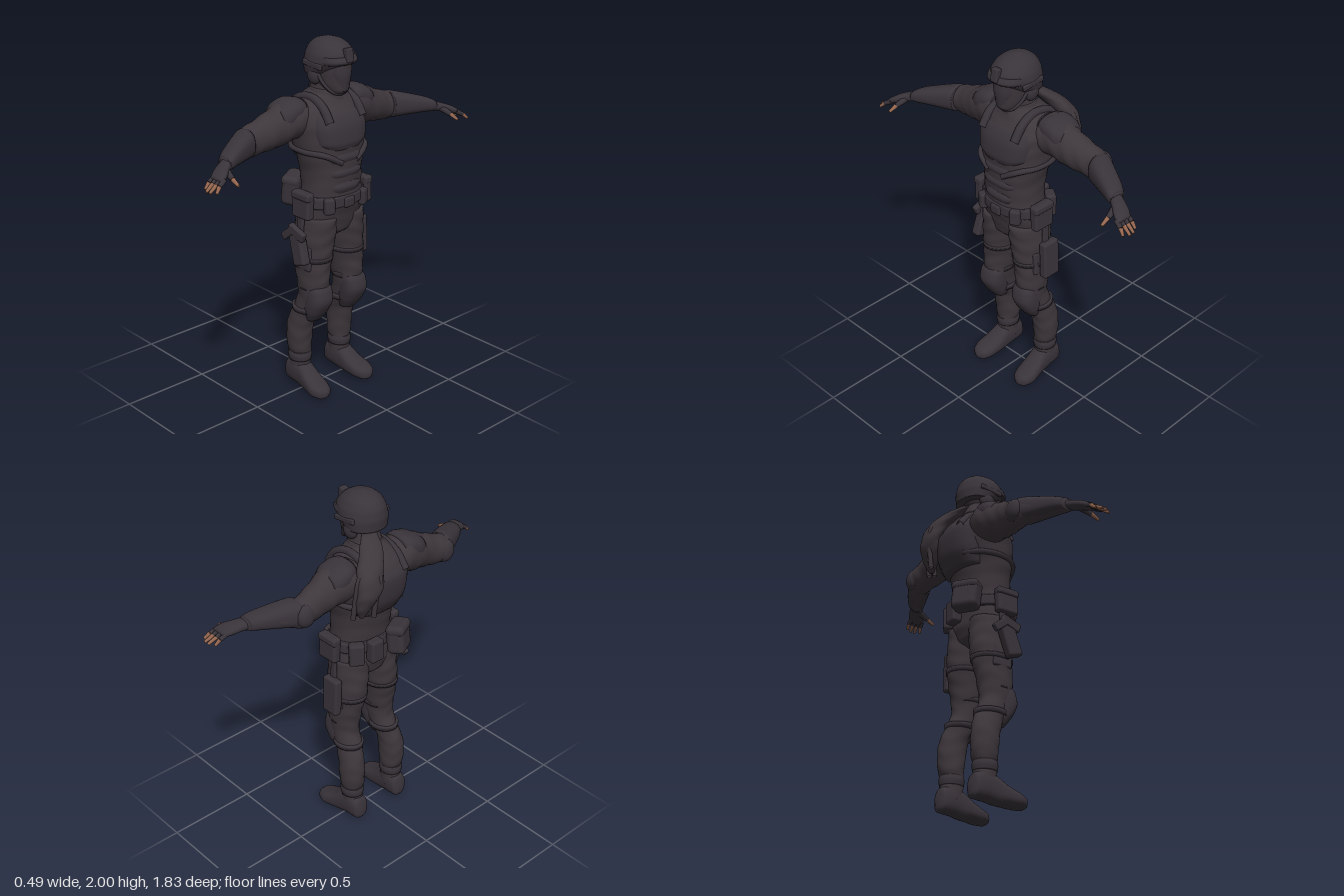
import * as THREE from 'three';
import { RoundedBoxGeometry } from 'three/addons/geometries/RoundedBoxGeometry.js';

const mat = (name, color) => {
  const m = new THREE.MeshStandardMaterial({ color, side: THREE.DoubleSide });
  m.name = name;
  return m;
};

// Smooth skin over elliptical rings [x, y, z, a, b] that lie across the given axis.
function loftGeometry(rows, axis, { wrinkle = 0, power = 1, seg = 28, steps = 5, flip = 1 } = {}) {
  const mid = new THREE.CatmullRomCurve3(rows.map(r => new THREE.Vector3(r[0] * flip, r[1], r[2])));
  const size = new THREE.CatmullRomCurve3(rows.map(r => new THREE.Vector3(r[3], r[4], 0)));
  const n = (rows.length - 1) * steps, pos = [], idx = [];
  const shape = v => Math.sign(v) * Math.abs(v) ** power;
  for (let i = 0; i <= n; i++) {
    const c = mid.getPoint(i / n), s = size.getPoint(i / n);
    for (let j = 0; j < seg; j++) {
      const t = j / seg * Math.PI * 2;
      const along = c[axis];
      const k = 1 + wrinkle * (Math.sin(along * 75 + 2 * Math.sin(t * 2)) + 0.6 * Math.sin(along * 41 + 3 * t));
      const u = shape(Math.cos(t)) * s.x * k, v = shape(Math.sin(t)) * s.y * k;
      if (axis === 'y') pos.push(c.x + u * flip, c.y, c.z + v);
      else if (axis === 'x') pos.push(c.x, c.y + u, c.z + v);
      else pos.push(c.x + u * flip, c.y + v, c.z);
    }
  }
  for (let i = 0; i < n; i++) for (let j = 0; j < seg; j++) {
    const a = i * seg + j, b = i * seg + (j + 1) % seg;
    idx.push(a, a + seg, b + seg, a, b + seg, b);
  }
  const ends = [mid.getPoint(0), mid.getPoint(1)];
  ends.forEach(e => pos.push(e.x, e.y, e.z));
  for (let j = 0; j < seg; j++) {
    const k = (j + 1) % seg, last = n * seg;
    idx.push(last + seg, j, k, last + seg + 1, last + k, last + j);
  }
  // Turn the faces outward
  let volume = 0;
  const p = i => new THREE.Vector3().fromArray(pos, idx[i] * 3);
  for (let i = 0; i < idx.length; i += 3) volume += p(i).sub(ends[0]).dot(p(i + 1).sub(ends[0]).cross(p(i + 2).sub(ends[0])));
  if (volume < 0) idx.reverse();
  const g = new THREE.BufferGeometry();
  g.setAttribute('position', new THREE.Float32BufferAttribute(pos, 3));
  g.setIndex(idx);
  g.computeVertexNormals();
  return g;
}

export function createModel() {
  const cloth = mat('dark cloth', 0x3d363b), gear = mat('dark gear', 0x39333a), skin = mat('skin', 0x94664f);
  const root = new THREE.Group(), figure = new THREE.Group();
  root.name = 'soldier';
  figure.name = 'figure';
  figure.rotation.y = Math.PI / 2; // the figure is built facing +z and turned to face +x
  root.add(figure);

  const add = (name, geo, m = cloth) => {
    const mesh = new THREE.Mesh(geo, m);
    mesh.name = name;
    figure.add(mesh);
    return mesh;
  };
  const loft = (name, rows, axis, opt, m) => add(name, loftGeometry(rows, axis, opt), m);
  const box = (name, [w, h, d], [x, y, z], [rx, ry, rz] = [0, 0, 0], r = 0.015) => {
    const mesh = add(name, new RoundedBoxGeometry(w, h, d, 2, Math.min(r, w / 2.1, h / 2.1, d / 2.1)), gear);
    mesh.position.set(x, y, z);
    mesh.rotation.set(rx, ry, rz);
    return mesh;
  };
  const ball = (name, [w, h, d], [x, y, z], m = gear) => {
    const mesh = add(name, new THREE.SphereGeometry(1, 24, 16), m);
    mesh.scale.set(w, h, d);
    mesh.position.set(x, y, z);
    return mesh;
  };
  const rod = (name, a, b, r1, r2, m) => {
    const A = new THREE.Vector3(...a), B = new THREE.Vector3(...b), dir = B.clone().sub(A);
    const mesh = add(name, new THREE.CylinderGeometry(r2, r1, dir.length(), 8), m);
    mesh.position.copy(A).add(B).multiplyScalar(0.5);
    mesh.quaternion.setFromUnitVectors(new THREE.Vector3(0, 1, 0), dir.normalize());
    return mesh;
  };
  const tube = (name, pts, r, m = gear) => add(name, new THREE.TubeGeometry(
    new THREE.CatmullRomCurve3(pts.map(p => new THREE.Vector3(...p))), 24, r, 8), m);

  // Torso and neck
  loft('torso', [
    [0, 0.92, 0.03, 0.04, 0.06], [0, 0.96, 0.035, 0.13, 0.11], [0, 1.03, 0.035, 0.188, 0.127], [0, 1.12, 0.05, 0.185, 0.135],
    [0, 1.2, 0.05, 0.172, 0.135], [0, 1.3, 0.045, 0.172, 0.145], [0, 1.4, 0.035, 0.192, 0.155], [0, 1.5, 0.01, 0.205, 0.178],
    [0, 1.58, -0.005, 0.215, 0.175], [0, 1.64, -0.01, 0.195, 0.15], [0, 1.69, 0, 0.125, 0.115], [0, 1.73, 0.015, 0.085, 0.085],
    [0, 1.8, 0.03, 0.075, 0.075]], 'y', { wrinkle: 0.008, power: 0.9, seg: 40 });
  loft('collar', [[0, 1.66, 0.01, 0.12, 0.115], [0, 1.7, 0.015, 0.1, 0.1], [0, 1.735, 0.015, 0.09, 0.088]], 'y', { wrinkle: 0.02 });

  // Vest plates
  loft('chestPlate', [[0, 1.43, 0.09, 0.13, 0.1], [0, 1.47, 0.085, 0.165, 0.115], [0, 1.55, 0.075, 0.175, 0.115],
    [0, 1.61, 0.06, 0.165, 0.1], [0, 1.635, 0.05, 0.14, 0.08]], 'y', { power: 0.75, seg: 40 }, gear);
  loft('backPlate', [[0, 1.36, -0.05, 0.14, 0.09], [0, 1.45, -0.075, 0.16, 0.11], [0, 1.57, -0.085, 0.165, 0.11],
    [0, 1.64, -0.07, 0.13, 0.08]], 'y', { power: 0.75, seg: 40 }, gear);
  [1.38, 1.3, 1.22].forEach((y, i) => loft('abdomenPlate', [[0, y - 0.04, 0.09, 0.115 - i * 0.008, 0.09],
    [0, y, 0.095, 0.135 - i * 0.01, 0.102], [0, y + 0.036, 0.09, 0.12 - i * 0.01, 0.092]], 'y', { power: 0.7, seg: 36 }, gear));

  // Belt and buckle
  loft('belt', [[0, 1.11, 0.045, 0.19, 0.14], [0, 1.12, 0.045, 0.198, 0.147], [0, 1.165, 0.045, 0.196, 0.147], [0, 1.175, 0.045, 0.186, 0.14]],
    'y', { power: 0.9, seg: 40 }, gear);
  box('buckle', [0.07, 0.06, 0.03], [0, 1.135, 0.188]);

  // Head, mask and helmet
  loft('head', [[0, 1.7, 0.08, 0.03, 0.035], [0, 1.725, 0.085, 0.058, 0.068], [0, 1.77, 0.065, 0.082, 0.095],
    [0, 1.83, 0.05, 0.095, 0.115], [0, 1.89, 0.045, 0.1, 0.12], [0, 1.94, 0.04, 0.08, 0.1]], 'y');
  loft('faceMask', [[0, 1.73, 0.1, 0.035, 0.058], [0, 1.77, 0.105, 0.055, 0.058], [0, 1.82, 0.105, 0.072, 0.062],
    [0, 1.88, 0.1, 0.08, 0.06]], 'y', {}, gear);
  loft('helmet', [[0, 1.815, 0, 0.115, 0.1], [0, 1.84, 0.015, 0.122, 0.118], [0, 1.88, 0.032, 0.126, 0.138], [0, 1.92, 0.038, 0.118, 0.137],
    [0, 1.96, 0.034, 0.095, 0.11], [0, 1.985, 0.03, 0.063, 0.073], [0, 2.0, 0.028, 0.012, 0.014]], 'y', { seg: 36 }, gear);
  loft('helmetBrim', [[0, 1.875, 0.07, 0.11, 0.112], [0, 1.89, 0.075, 0.112, 0.118], [0, 1.915, 0.07, 0.108, 0.11]], 'y', { power: 0.9 }, gear);
  box('helmetMount', [0.045, 0.075, 0.035], [0, 1.925, 0.178], [-0.15, 0, 0], 0.008);
  for (const s of [1, -1]) {
    box('helmetRail', [0.018, 0.03, 0.14], [s * 0.119, 1.87, 0.035], [0.1, 0, 0], 0.007);
    ball('earCup', [0.03, 0.052, 0.045], [s * 0.092, 1.81, 0.02]);
    tube('chinStrap', [[s * 0.1, 1.83, 0.05], [s * 0.085, 1.77, 0.085], [s * 0.045, 1.722, 0.12], [0, 1.712, 0.13]], 0.009);
  }

  // Scarf tail hanging behind the left shoulder
  loft('scarfTail', [[0.03, 1.79, -0.05, 0.045, 0.03], [0.08, 1.73, -0.12, 0.07, 0.05], [0.13, 1.66, -0.17, 0.078, 0.055],
    [0.155, 1.56, -0.195, 0.075, 0.05], [0.175, 1.48, -0.175, 0.055, 0.04], [0.185, 1.41, -0.165, 0.012, 0.012]], 'y', { wrinkle: 0.03 });
  for (const [x, z] of [[0.2, -0.13], [0.225, -0.15], [0.13, -0.2]])
    tube('scarfStrand', [[0.1, 1.72, -0.13], [x - 0.02, 1.64, z - 0.02], [x, 1.53, z - 0.015], [x + 0.005, 1.41, z]], 0.014, cloth);

  for (const s of [1, -1]) {
    const flip = { flip: s };
    // Legs, knee pads and boots
    loft('leg', [[0.15, 0.08, -0.05, 0.055, 0.07], [0.148, 0.2, -0.04, 0.056, 0.063], [0.15, 0.25, -0.045, 0.066, 0.07],
      [0.152, 0.33, -0.043, 0.069, 0.078], [0.148, 0.41, -0.032, 0.066, 0.082], [0.135, 0.49, 0.0, 0.068, 0.085],
      [0.128, 0.58, 0.04, 0.072, 0.09], [0.125, 0.66, 0.043, 0.08, 0.1], [0.12, 0.75, 0.035, 0.087, 0.11],
      [0.11, 0.85, 0.03, 0.096, 0.122], [0.102, 0.95, 0.035, 0.1, 0.127], [0.095, 1.05, 0.04, 0.098, 0.127]], 'y', { wrinkle: 0.018, flip: s });
    loft('kneePad', [[0.13, 0.44, 0.045, 0.045, 0.04], [0.13, 0.5, 0.07, 0.066, 0.06], [0.128, 0.57, 0.092, 0.073, 0.07],
      [0.126, 0.63, 0.088, 0.07, 0.065], [0.125, 0.67, 0.08, 0.05, 0.05]], 'y', { power: 0.8, flip: s }, gear);
    for (const [y, z, x] of [[0.5, 0.005, 0.133], [0.65, 0.043, 0.125]])
      loft('kneeStrap', [[x, y - 0.014, z, 0.079, 0.092], [x, y + 0.014, z, 0.079, 0.094]], 'y', { ...flip, steps: 1 }, gear);
    loft('bootCuff', [[0.15, 0.17, -0.042, 0.06, 0.066], [0.15, 0.2, -0.042, 0.065, 0.07], [0.15, 0.225, -0.042, 0.06, 0.066]], 'y', flip, gear);
    loft('boot', [[0.148, 0.065, -0.13, 0.02, 0.025], [0.149, 0.085, -0.115, 0.048, 0.065], [0.15, 0.095, -0.06, 0.056, 0.078],
      [0.152, 0.085, 0, 0.056, 0.077], [0.158, 0.06, 0.07, 0.062, 0.054], [0.165, 0.045, 0.13, 0.064, 0.042],
      [0.166, 0.037, 0.18, 0.045, 0.033], [0.166, 0.034, 0.2, 0.012, 0.015]], 'z', { power: 0.8, flip: s }, gear);

    // Shoulder, arm and forearm guard
    loft('arm', [[0.13, 1.59, -0.03, 0.085, 0.1], [0.2, 1.59, -0.035, 0.11, 0.113], [0.27, 1.578, -0.035, 0.11, 0.103],
      [0.35, 1.552, -0.035, 0.1, 0.085], [0.43, 1.53, -0.045, 0.088, 0.074], [0.5, 1.515, -0.05, 0.08, 0.07],
      [0.56, 1.512, -0.015, 0.066, 0.07], [0.65, 1.505, 0.035, 0.05, 0.06], [0.74, 1.49, 0.085, 0.032, 0.042]], 'x', { wrinkle: 0.02, flip: s });
    loft('shoulderPad', [[0.17, 1.645, -0.03, 0.05, 0.085], [0.22, 1.635, -0.035, 0.067, 0.1], [0.27, 1.62, -0.035, 0.07, 0.1],
      [0.32, 1.6, -0.035, 0.06, 0.08]], 'x', { power: 0.85, flip: s }, gear);
    loft('forearmGuard', [[0.5, 1.52, -0.035, 0.07, 0.07], [0.52, 1.52, -0.03, 0.074, 0.076], [0.6, 1.514, 0.01, 0.061, 0.07],
      [0.7, 1.502, 0.062, 0.042, 0.059], [0.735, 1.494, 0.08, 0.033, 0.048]], 'x', { power: 0.8, flip: s }, gear);
    ball('elbowPad', [0.055, 0.065, 0.04], [s * 0.49, 1.515, -0.09]);

    // Gloved hand with bare finger ends
    loft('glove', [[0.71, 1.495, 0.075, 0.03, 0.036], [0.76, 1.484, 0.105, 0.026, 0.044], [0.81, 1.468, 0.135, 0.024, 0.052],
      [0.85, 1.452, 0.155, 0.016, 0.044]], 'x', { power: 0.85, flip: s }, gear);
    for (const [z, tipX, tipZ] of [[0.113, 0.893, 0.125], [0.139, 0.912, 0.158], [0.165, 0.912, 0.185], [0.188, 0.893, 0.214]]) {
      const base = [s * 0.825, 1.458, z], mid = [s * 0.865, 1.438, (z + tipZ) / 2], tip = [s * tipX, 1.412, tipZ];
      rod('gloveFinger', base, mid, 0.014, 0.0125, gear);
      rod('finger', mid, tip, 0.0115, 0.0075, skin);
    }
    rod('gloveThumb', [s * 0.765, 1.478, 0.13], [s * 0.777, 1.452, 0.195], 0.02, 0.014, gear);
    rod('thumb', [s * 0.777, 1.452, 0.195], [s * 0.78, 1.432, 0.242], 0.0125, 0.008, skin);

    // Vest straps, ribs strap and front belt pouches
    tube('shoulderStrap', [[s * 0.115, 1.58, 0.165], [s * 0.115, 1.65, 0.115], [s * 0.11, 1.69, 0.02], [s * 0.11, 1.66, -0.1], [s * 0.11, 1.58, -0.175]], 0.024);
    tube('ribStrap', [[s * 0.05, 1.36, 0.19], [s * 0.14, 1.41, 0.16], [s * 0.192, 1.42, 0.06], [s * 0.18, 1.42, -0.06], [s * 0.1, 1.42, -0.15]], 0.016);
    box('sidePouch', [0.05, 0.15, 0.13], [s * 0.21, 1.135, 0.06], [0, 0, s * 0.05]);
    box('sidePouchFlap', [0.056, 0.045, 0.136], [s * 0.212, 1.185, 0.06], [0, 0, s * 0.05]);
    box('frontPouch', [0.06, 0.09, 0.05], [s * 0.12, 1.13, 0.165], [0, s * 0.45, 0]);
    box('thighPocket', [0.03, 0.14, 0.12], [s * 0.19, 0.82, 0.04], [0, 0, s * 0.05]);
    loft('thighStrap', [[0.115, 0.8, 0.03, 0.098, 0.12], [0.113, 0.825, 0.03, 0.101, 0.123]], 'y', { ...flip, steps: 1 }, gear);
  }

  // Rear belt pouches
  box('rearPouch', [0.15, 0.17, 0.1], [-0.11, 1.155, -0.13], [0.12, 0.5, 0], 0.03);
  box('rearPouchFlap', [0.157, 0.06, 0.106], [-0.11, 1.21, -0.127], [0.12, 0.5, 0], 0.03);
  box('rearSmallPouch', [0.085, 0.13, 0.06], [0.04, 1.12, -0.11]);
  box('rearSmallPouch', [0.085, 0.13, 0.06], [0.14, 1.12, -0.075], [0, -0.6, 0]);

  // Left thigh pouch
  box('thighPouch', [0.05, 0.22, 0.11], [0.232, 0.85, 0.02], [0, 0, 0.04]);
  box('thighPouchStrap', [0.02, 0.16, 0.04], [0.21, 1.0, 0.03], [0, 0, 0.04]);

  // Right thigh holster and pistol
  box('holster', [0.055, 0.18, 0.09], [-0.238, 0.89, 0.06], [-0.3, 0, -0.05]);
  box('pistolSlide', [0.035, 0.05, 0.12], [-0.25, 0.985, 0.055], [0.35, 0, 0], 0.008);
  box('pistolGrip', [0.032, 0.1, 0.045], [-0.252, 0.965, -0.01], [0.9, 0, 0], 0.01);
  box('holsterStrap', [0.02, 0.16, 0.045], [-0.208, 1.03, 0.04], [0, 0, -0.08]);
  return root;
}
